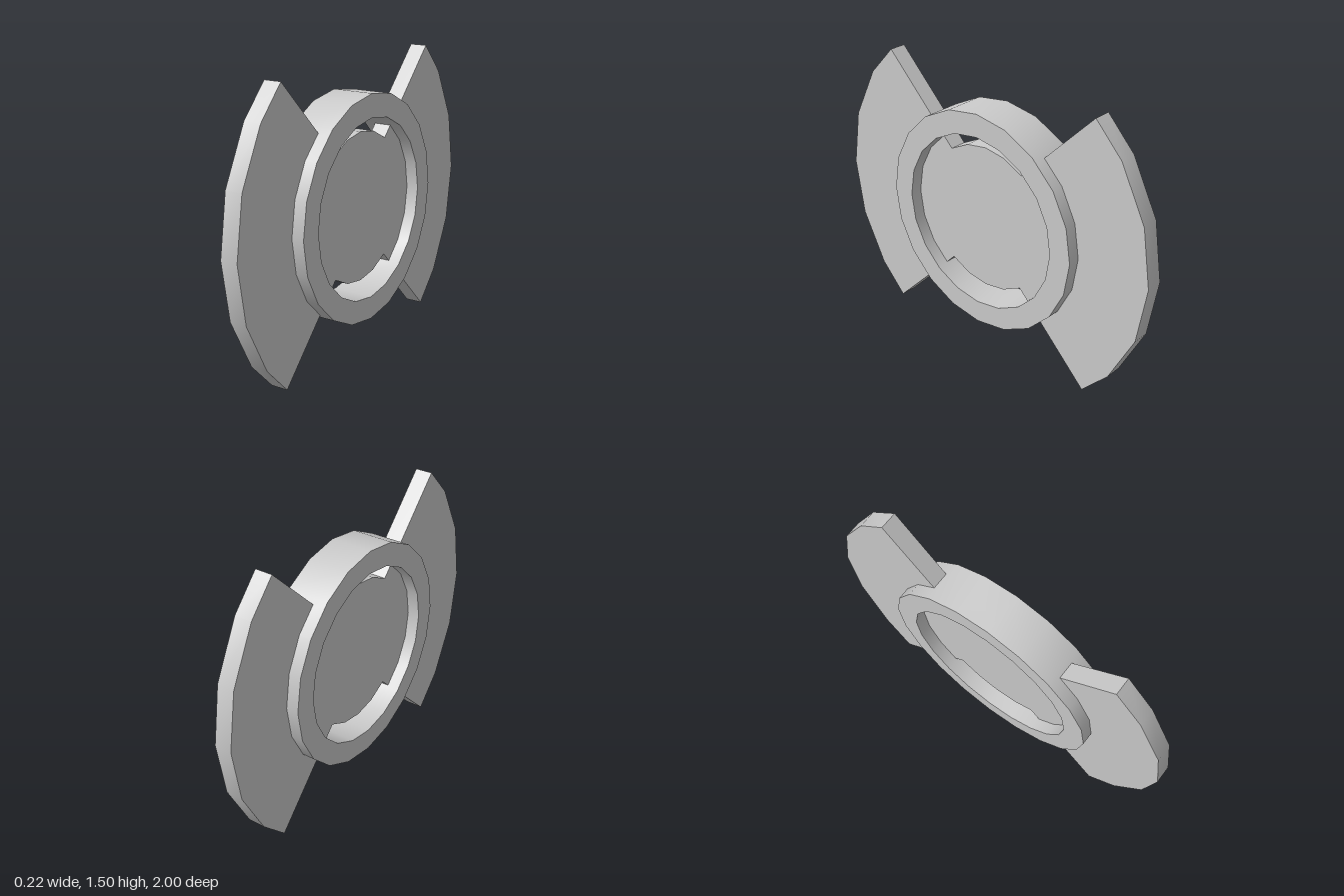
import * as THREE from 'three';
import { toCreasedNormals } from 'three/addons/utils/BufferGeometryUtils.js';

const CENTER_Y = 0.748;
const STEP = Math.PI / 10; // all round parts have 20 sides

// Points on a 20-sided circle, from step a to step b
function arc(radius, a, b) {
  const points = [];
  for (let i = a; i <= b; i++) {
    points.push(new THREE.Vector2(radius * Math.cos(i * STEP), radius * Math.sin(i * STEP)));
  }
  return points;
}

// Extrude a side profile across x, centred on x = 0
function slab(name, shape, width) {
  let geometry = new THREE.ExtrudeGeometry(shape, { depth: width, bevelEnabled: false });
  geometry.translate(0, 0, -width / 2);
  geometry.rotateY(Math.PI / 2);
  geometry = toCreasedNormals(geometry, 0.5);
  const mesh = new THREE.Mesh(geometry, new THREE.MeshStandardMaterial({ color: 0xcccccc }));
  mesh.name = name;
  mesh.position.y = CENTER_Y;
  return mesh;
}

export function createModel() {
  const group = new THREE.Group();
  group.name = 'wingedRing';

  // Thick outer ring
  const ringShape = new THREE.Shape(arc(0.597, 0, 19));
  ringShape.holes.push(new THREE.Path(arc(0.475, 0, 19)));
  group.add(slab('ring', ringShape, 0.224));

  // Thin plate: two wings joined through a central disc
  const tip = (sx, sy) => new THREE.Vector2(0.657 * sx, 0.748 * sy);
  const plateShape = new THREE.Shape([
    tip(1, -1), ...arc(1, -2, 2), tip(1, 1),
    ...arc(0.397, 3, 7),
    tip(-1, 1), ...arc(1, 8, 12), tip(-1, -1),
    ...arc(0.397, 13, 17),
  ]);
  group.add(slab('wingPlate', plateShape, 0.092));

  return group;
}
